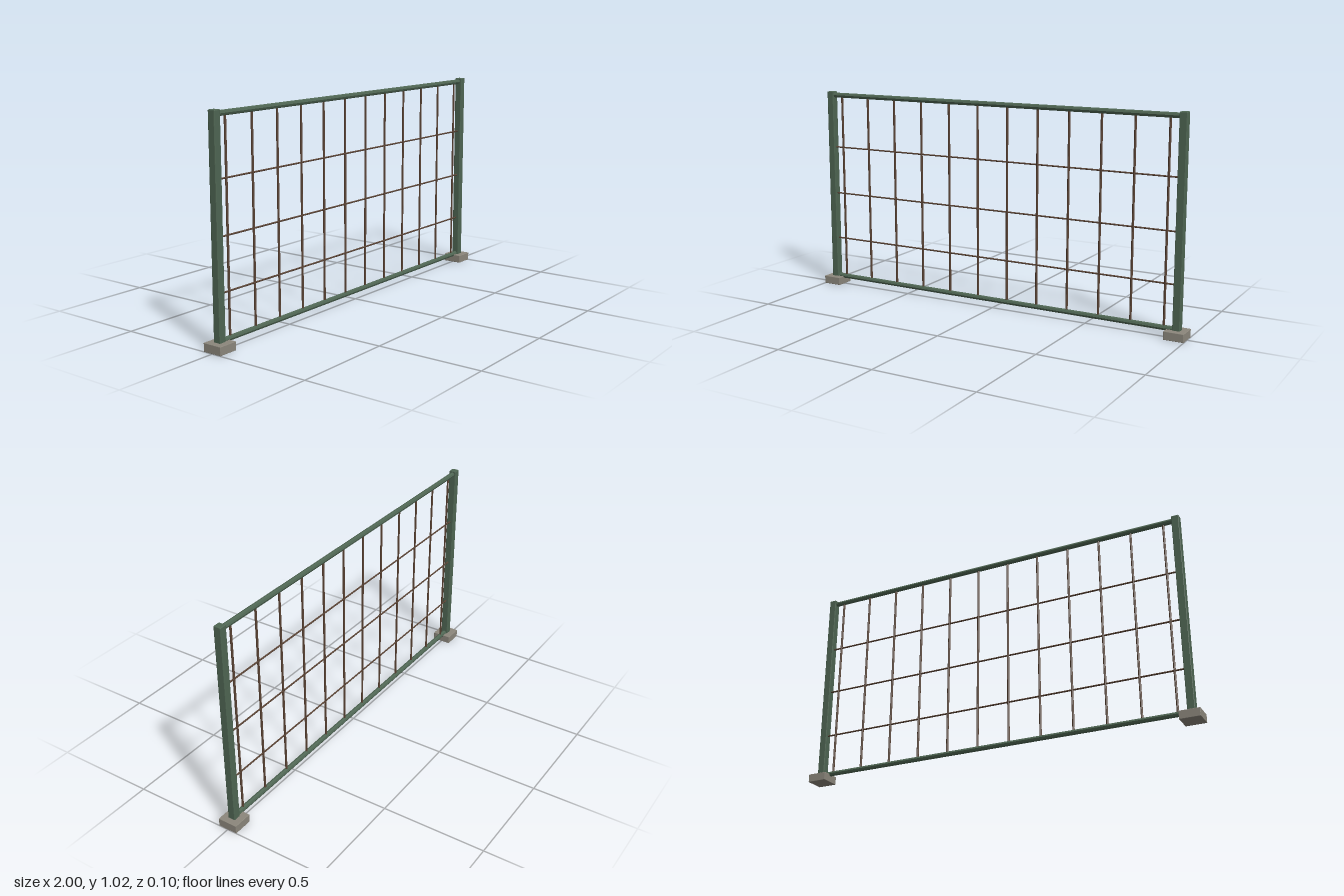
import * as THREE from 'three';
import { RoundedBoxGeometry } from 'three/addons/geometries/RoundedBoxGeometry.js';

const paint = (color) => new THREE.MeshStandardMaterial({ color, flatShading: true });

export function createModel() {
  const model = new THREE.Group();
  model.name = 'fencePanel';
  const green = paint(0x4f6653);
  const rust = paint(0x5a4334);
  const stone = paint(0x8c877c);

  const add = (name, geometry, material, x, y) => {
    const mesh = new THREE.Mesh(geometry, material);
    mesh.name = name;
    mesh.position.set(x, y, 0);
    model.add(mesh);
    return mesh;
  };

  const postX = 0.952;
  const span = 2 * (postX - 0.012);

  // Posts on their footings
  for (const [side, s] of [['right', -1], ['left', 1]]) {
    add(side + 'Footing', new RoundedBoxGeometry(0.096, 0.04, 0.096, 1, 0.002), stone, s * postX, 0.02);
    add(side + 'Post', new RoundedBoxGeometry(0.036, 1.015, 0.036, 1, 0.003), green, s * postX, 0.5125);
  }

  // Round rails and cross wires running between the posts
  const crossBar = (name, radius, sides, material, y) => {
    const geometry = new THREE.CylinderGeometry(radius, radius, span, sides);
    add(name, geometry.rotateZ(Math.PI / 2), material, 0, y);
  };
  crossBar('topRail', 0.0125, 8, green, 1.002);
  crossBar('bottomRail', 0.0125, 8, green, 0.042);
  [0.248, 0.489, 0.732].forEach((y, i) => crossBar('crossWire' + (i + 1), 0.004, 6, rust, y));

  // Upright bars
  const bars = 12;
  for (let i = 0; i < bars; i++) {
    const x = -0.889 + (1.778 * i) / (bars - 1);
    add('uprightBar' + (i + 1), new THREE.CylinderGeometry(0.0055, 0.0055, 0.942, 6), rust, x, 0.52);
  }
  return model;
}
